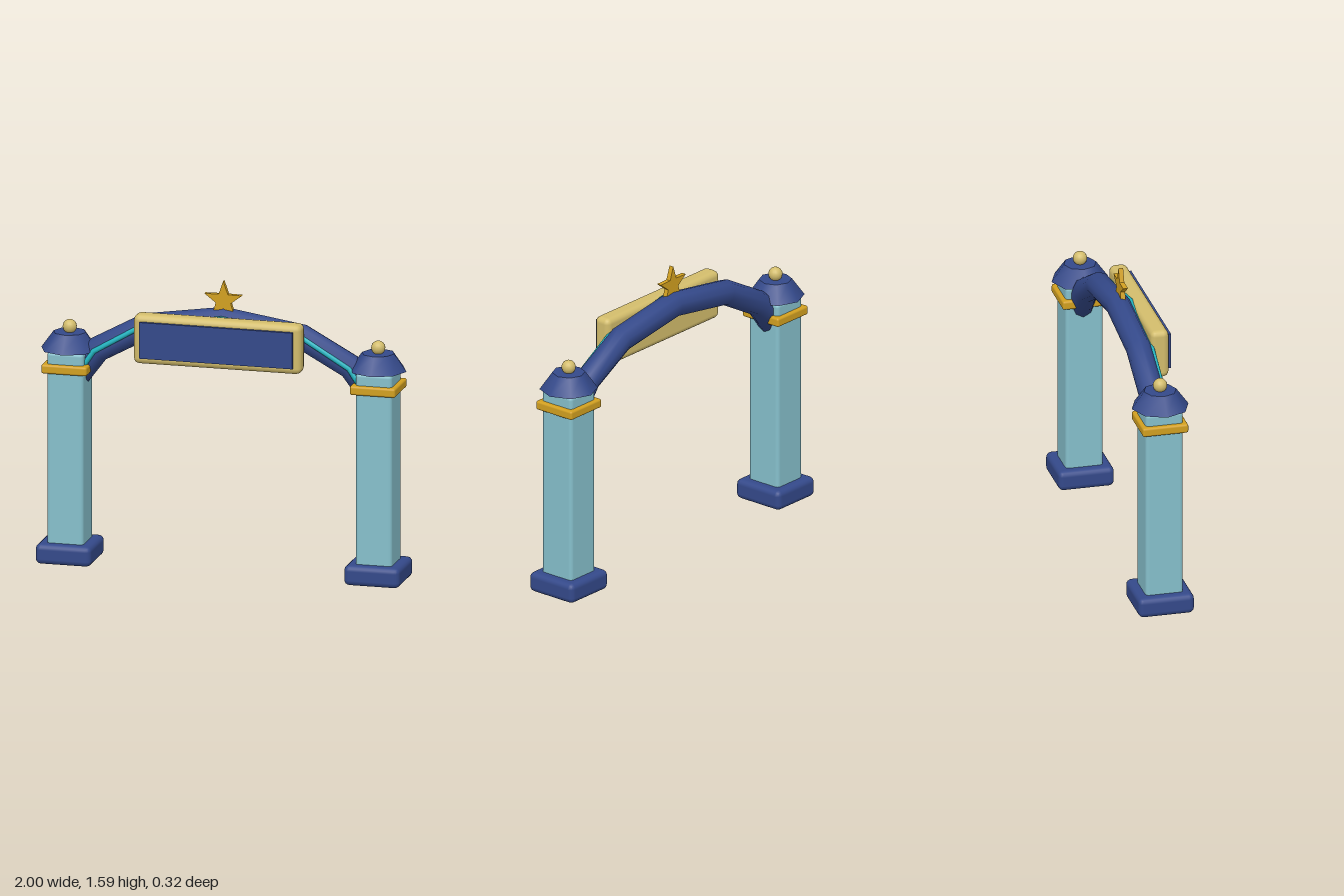
import * as THREE from 'three';
import { RoundedBoxGeometry } from 'three/addons/geometries/RoundedBoxGeometry.js';

const mat = (name, color) => {
  const m = new THREE.MeshStandardMaterial({ color });
  m.name = name;
  return m;
};

export function createModel() {
  const navy = mat('navy', 0x34498a);
  const paleTeal = mat('pale teal', 0x86c0cc);
  const gold = mat('gold', 0xd2a020);
  const cream = mat('cream', 0xd3bd6c);
  const cyan = mat('cyan', 0x22b4c0);

  const model = new THREE.Group();
  model.name = 'archGate';

  const add = (parent, name, geometry, material, x, y, z) => {
    const mesh = new THREE.Mesh(geometry, material);
    mesh.name = name;
    mesh.position.set(x, y, z);
    parent.add(mesh);
    return mesh;
  };
  const rounded = (w, h, d, r) => new RoundedBoxGeometry(w, h, d, 2, r);

  // Pillars: base, shaft, band, faceted cap and ball
  for (const side of [-1, 1]) {
    const pillar = new THREE.Group();
    pillar.name = side > 0 ? 'leftPillar' : 'rightPillar';
    pillar.position.set(side * 0.846, 0, -0.008);
    model.add(pillar);
    add(pillar, 'base', rounded(0.305, 0.11, 0.305, 0.03), navy, 0, 0.055, 0);
    add(pillar, 'shaft', rounded(0.2, 1.085, 0.205, 0.02), paleTeal, 0, 0.6125, 0);
    add(pillar, 'band', rounded(0.25, 0.05, 0.25, 0.012), gold, 0, 1.065, 0);
    add(pillar, 'cap', new THREE.CylinderGeometry(0.088, 0.155, 0.093, 8), navy, 0, 1.2025, 0);
    add(pillar, 'ball', new THREE.SphereGeometry(0.038, 16, 12), cream, 0, 1.278, 0);
  }

  // Segmented tube through mirrored points, with a mitred ring at each joint
  function segmentedTube(half, radius, sides) {
    const pts = [
      ...half.map(([x, y]) => new THREE.Vector2(-x, y)),
      ...half.slice(0, -1).reverse().map(([x, y]) => new THREE.Vector2(x, y)),
    ];
    const pos = [], index = [];
    pts.forEach((p, i) => {
      const dir = (a, b) => b.clone().sub(a).normalize();
      const before = dir(pts[Math.max(i - 1, 0)], pts[Math.max(i, 1)]);
      const last = pts.length - 1;
      const after = dir(pts[Math.min(i, last - 1)], pts[Math.min(i + 1, last)]);
      const t = before.clone().add(after).normalize();
      const stretch = radius / t.dot(before);
      for (let j = 0; j < sides; j++) {
        const a = (j / sides) * Math.PI * 2;
        const up = Math.cos(a) * stretch;
        pos.push(p.x - t.y * up, p.y + t.x * up, Math.sin(a) * radius);
        if (i < last) {
          const k = (j + 1) % sides, r = i * sides, n = r + sides;
          index.push(r + j, r + k, n + j, r + k, n + k, n + j);
        }
      }
    });
    // End discs
    const e = (pts.length - 1) * sides;
    for (let j = 1; j < sides - 1; j++) index.push(0, j + 1, j, e, e + j, e + j + 1);
    const g = new THREE.BufferGeometry();
    g.setAttribute('position', new THREE.Float32BufferAttribute(pos, 3));
    g.setIndex(index);
    g.computeVertexNormals();
    return g;
  }

  // Arch beam and the light strip along its front
  add(model, 'archBeam', segmentedTube(
    [[0.8, 1.02], [0.695, 1.16], [0.424, 1.308], [0, 1.372]], 0.068, 10), navy, 0, 0, -0.015);
  add(model, 'lightStrip', segmentedTube(
    [[0.78, 1.045], [0.7, 1.165], [0.424, 1.328], [0, 1.392]], 0.014, 8), cyan, 0, 0, 0.05);

  // Sign: thick rounded frame with a raised face
  add(model, 'signFrame', rounded(0.92, 0.27, 0.1, 0.032), cream, 0, 1.271, 0.095);
  add(model, 'signFace', new THREE.BoxGeometry(0.84, 0.198, 0.03), navy, 0, 1.272, 0.147);

  // Five-pointed star on top
  const star = new THREE.Shape();
  for (let i = 0; i < 10; i++) {
    const r = i % 2 ? 0.043 : 0.108;
    const a = Math.PI / 2 + (i * Math.PI) / 5;
    star[i ? 'lineTo' : 'moveTo'](Math.cos(a) * r, Math.sin(a) * r);
  }
  star.closePath();
  const starGeometry = new THREE.ExtrudeGeometry(star, { depth: 0.026, bevelEnabled: false });
  add(model, 'star', starGeometry, gold, 0, 1.48, -0.017);

  return model;
}
